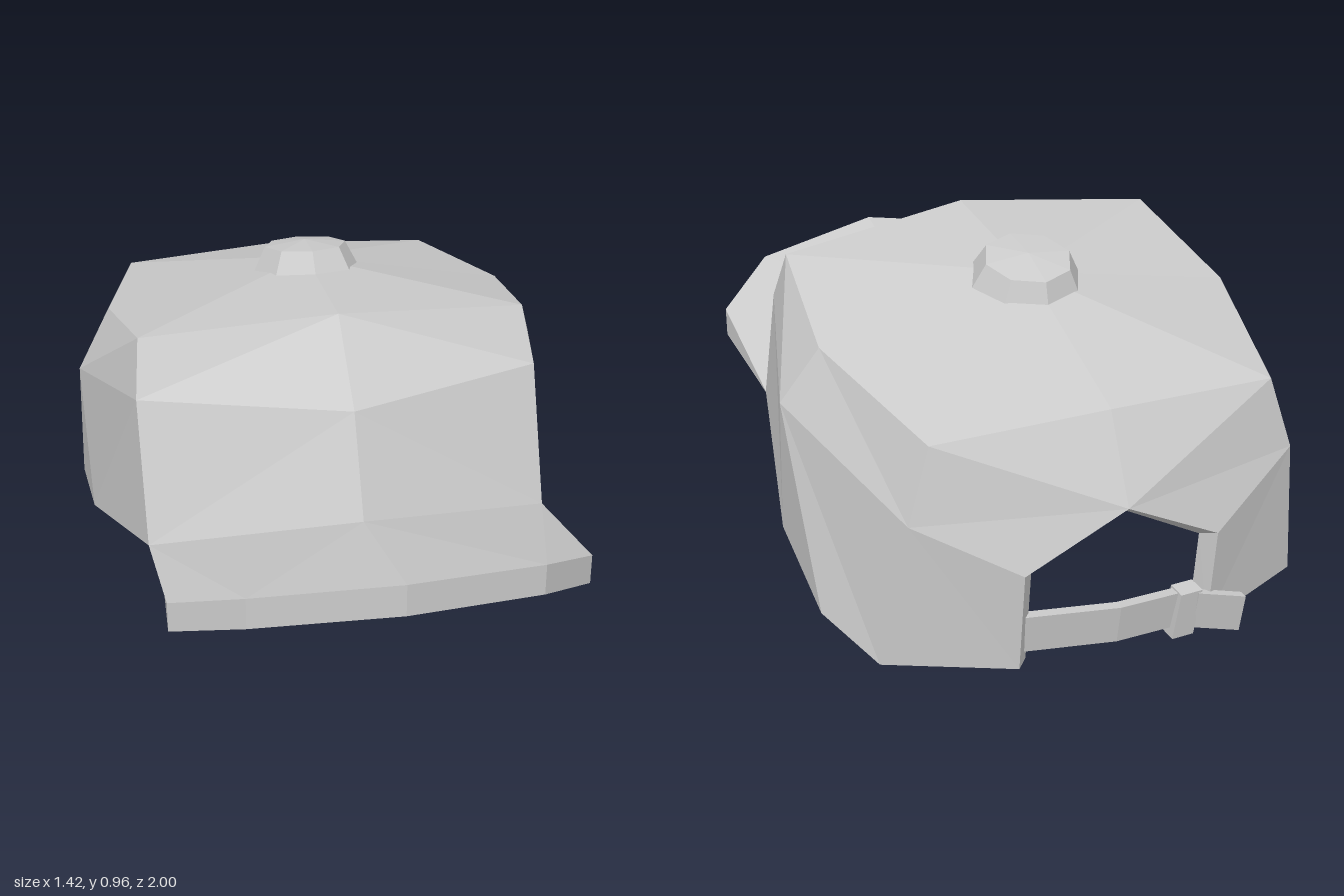
import * as THREE from 'three';

const cloth = new THREE.MeshStandardMaterial({ color: 0xcccccc, side: THREE.DoubleSide, flatShading: true });
cloth.name = 'light grey cloth';

// Faces given for the +x half, as triangles or quads; mirrored to -x
function mirroredMesh(name, faces) {
  const pos = [];
  const tri = (a, b, c) => {
    if (a === b || b === c || a === c) return;
    pos.push(...a, ...b, ...c);
    for (const p of [a, c, b]) pos.push(-p[0], p[1], p[2]);
  };
  for (const [a, b, c, d] of faces) {
    tri(a, b, c);
    if (d) tri(a, c, d);
  }
  return finish(name, pos);
}

function finish(name, pos) {
  const g = new THREE.BufferGeometry();
  g.setAttribute('position', new THREE.Float32BufferAttribute(pos, 3));
  g.computeVertexNormals();
  const m = new THREE.Mesh(g, cloth);
  m.name = name;
  return m;
}

// Flat band following [x, y, z] centres; its lower edge leans forward
function band(name, path, height, thick, lean) {
  const rings = path.map(([x, y, z]) => [
    [x, y + height / 2, z + thick / 2 - lean], [x, y - height / 2, z + thick / 2 + lean],
    [x, y - height / 2, z - thick / 2 + lean], [x, y + height / 2, z - thick / 2 - lean]]);
  const pos = [];
  const quad = (a, b, c, d) => pos.push(...a, ...b, ...c, ...a, ...c, ...d);
  for (let i = 0; i < rings.length - 1; i++) {
    for (let k = 0; k < 4; k++) {
      const n = (k + 1) % 4;
      quad(rings[i][k], rings[i][n], rings[i + 1][n], rings[i + 1][k]);
    }
  }
  quad(...[...rings[0]].reverse());
  quad(...rings[rings.length - 1]);
  return finish(name, pos);
}

export function createModel() {
  const cap = new THREE.Group();
  cap.name = 'cap';

  // Crown rings, from front centre round the side to back centre
  const crownCentre = [0, 0.9, -0.35];
  const side = [0.712, 0.61, -0.3], sideTop = [0.61, 0.78, -0.35];
  const holeSide = [0.28, 0.35, -0.98], holeTop = [0, 0.5, -1];
  const top = [[0, 0.93, 0.15], [0.565, 0.875, 0.08], sideTop, sideTop, [0.49, 0.71, -0.85], [0, 0.73, -0.88]];
  const mid = [[0, 0.73, 0.37], [0.585, 0.72, 0.16], side, side, [0.555, 0.5, -0.87], holeTop];
  const low = [[0, 0.45, 0.5], [0.585, 0.33, 0.31], [0.7, 0.17, -0.22], [0.705, 0.1, -0.58],
    [0.62, 0.06, -0.81], [0.28, 0.045, -0.95]];

  const crown = [];
  for (let i = 0; i < 5; i++) {
    crown.push([crownCentre, top[i], top[i + 1]]);
    crown.push([top[i], mid[i], mid[i + 1], top[i + 1]]);
    if (i < 4) crown.push([mid[i], low[i], low[i + 1], mid[i + 1]]);
  }
  // Back panel beside the arched opening
  crown.push([mid[4], low[4], low[5], holeSide], [mid[4], holeSide, holeTop]);
  cap.add(mirroredMesh('crown', crown));

  // Hem round the opening and the back arch; lining up to the back corners
  const outer = [low[0], low[1], ...low.slice(1), holeSide, holeTop];
  const inner = [[0, 0.25, 0.31], [0.4, 0.225, 0.2], [0.54, 0.21, 0.07], [0.62, 0.14, -0.22],
    [0.62, 0.07, -0.56], [0.54, 0.045, -0.77], [0.245, 0.045, -0.91], [0.245, 0.335, -0.94], [0, 0.475, -0.955]];
  const apex = [0, 0.56, -0.3];
  const hem = [], lining = [];
  for (let i = 0; i < 8; i++) {
    // The brim closes the front stretch of the hem
    if (i > 1) hem.push([outer[i], inner[i], inner[i + 1], outer[i + 1]]);
    if (i < 5) lining.push([inner[i], apex, inner[i + 1]]);
  }
  cap.add(mirroredMesh('hem', hem), mirroredMesh('lining', lining));

  // Brim: upper edge, lower edge, then top, rim and underside faces
  const root = [0.555, 0.267, 0.35];
  const up = [[0, 0.56, 1], [0.4, 0.513, 0.91], [0.585, 0.42, 0.75], low[1]];
  const down = [[0, 0.465, 1], [0.4, 0.42, 0.91], [0.585, 0.33, 0.75], root];
  const brim = [[low[0], up[0], up[1]], [low[0], up[1], low[1]], [up[1], up[2], low[1]],
    [down[0], inner[0], down[1]], [down[1], inner[0], inner[1]],
    [down[1], inner[1], root], [down[1], root, down[2]],
    [root, inner[1], inner[2]], [root, inner[2], low[1]]];
  for (let i = 0; i < 3; i++) brim.push([up[i], down[i], down[i + 1], up[i + 1]]);
  cap.add(mirroredMesh('brim', brim));

  // Button on the crown, tilted back with the top panel
  const button = new THREE.Group();
  button.name = 'button';
  const buttonSide = new THREE.Mesh(new THREE.CylinderGeometry(0.125, 0.16, 0.07, 8, 1, true), cloth);
  buttonSide.name = 'buttonSide';
  const buttonTop = new THREE.Mesh(new THREE.ConeGeometry(0.125, 0.015, 8, 1, true), cloth);
  buttonTop.name = 'buttonTop';
  buttonTop.position.y = 0.0425;
  button.add(buttonSide, buttonTop);
  button.position.set(0, 0.907, -0.34);
  button.rotation.x = -0.2;
  cap.add(button);

  // Back strap across the opening, with buckle and loose tail
  cap.add(band('strap', [[-0.25, 0.105, -0.925], [0, 0.125, -0.955], [0.27, 0.14, -0.92]], 0.12, 0.03, 0.01));
  cap.add(band('strapTail', [[-0.375, 0.068, -0.965], [-0.24, 0.1, -0.945]], 0.125, 0.025, 0.012));
  const buckle = new THREE.Mesh(new THREE.BoxGeometry(0.07, 0.15, 0.05), cloth);
  buckle.name = 'buckle';
  buckle.position.set(-0.21, 0.098, -0.935);
  buckle.rotation.set(-0.12, 0.12, 0.08);
  cap.add(buckle);

  return cap;
}
